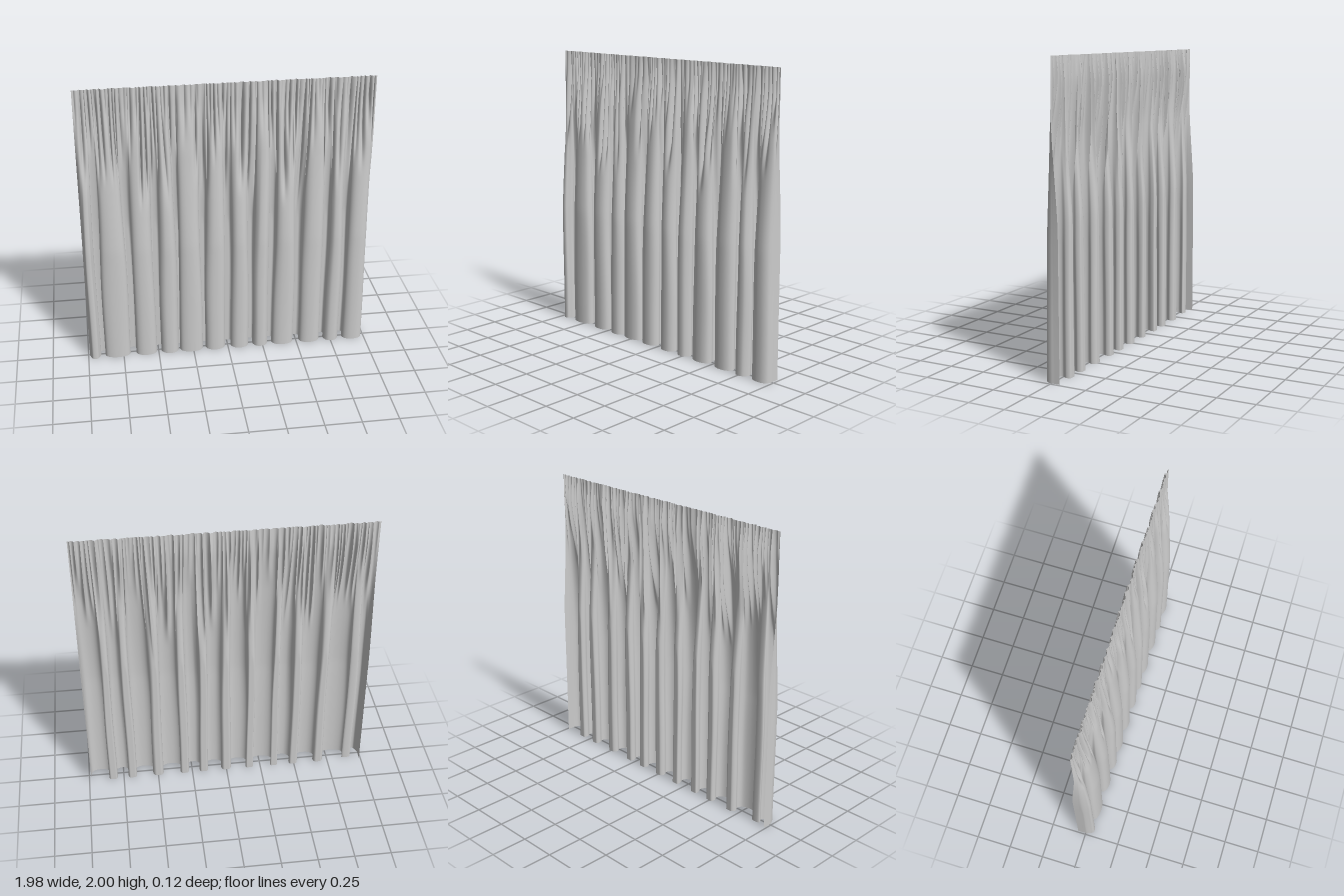
import * as THREE from 'three';

const ROWS = 60, COLS = 1080, DEPTH = 0.057;

// Front lobes of the hem, [left edge, right edge]
const LOBES = [[-0.99, -0.91], [-0.88, -0.70], [-0.66, -0.51], [-0.48, -0.355], [-0.345, -0.18], [-0.16, -0.02],
  [0.02, 0.15], [0.18, 0.29], [0.32, 0.475], [0.52, 0.67], [0.70, 0.81], [0.84, 0.985]];

let seed = 7;
const rand = () => (seed = (seed * 16807) % 2147483647) / 2147483647;
const smooth = THREE.MathUtils.smoothstep;
const mix = THREE.MathUtils.lerp;

// Linear interpolation in a list of [y, value]
function keyed(keys, y) {
  for (let i = 1; i < keys.length; i++) {
    const [y0, a] = keys[i - 1], [y1, b] = keys[i];
    if (y <= y1) return mix(a, b, (y - y0) / (y1 - y0));
  }
  return keys[keys.length - 1][1];
}
const FRONT = [[0, 0.058], [0.85, 0.055], [1.55, 0.026], [1.9, 0.002], [2, -0.008]];
const BACK = [[0, -0.058], [1, -0.056], [1.55, -0.045], [1.85, -0.05], [2, -0.034]];

// Hem outline: round lobes in front joined by small loops behind
function hemCurve() {
  const pts = [];
  const add = (x, z) => pts.push(new THREE.Vector3(x, 0, z));
  LOBES.forEach(([a, b], i) => {
    const w = b - a, last = i === LOBES.length - 1;
    if (i === 0) { add(a, -0.057); add(a, -0.02); } else add(a + 0.016, -0.028);
    add(a, 0.005);
    add(a + 0.012, 0.035);
    add(a + w * 0.3, 0.053);
    add(a + w * 0.7, 0.053);
    add(b - 0.012, 0.035);
    add(b, 0.005);
    if (last) { add(b, -0.02); add(b, -0.057); return; }
    const v = (b + LOBES[i + 1][0]) / 2, back = i === 0 ? -0.035 : -0.055;
    add(b - 0.016, -0.028);
    add(v - 0.022, back);
    add(v + 0.022, back);
  });
  return new THREE.CatmullRomCurve3(pts, false, 'centripetal');
}

// Where each point of the cloth hangs from the heading
function headingPositions(hem) {
  const valleys = [-0.99, ...LOBES.slice(1).map(([a], i) => (a + LOBES[i][1]) / 2), 0.985];
  const raw = hem.map((p) => p.x);
  const out = [];
  // find the backmost column of every valley, then spread columns evenly between
  const marks = valleys.map((v, i) => {
    if (i === 0) return 0;
    if (i === valleys.length - 1) return COLS;
    let best = 0, score = Infinity;
    raw.forEach((x, c) => {
      const s = Math.abs(x - v) + (hem[c].z > -0.02 ? 1 : 0);
      if (s < score) { score = s; best = c; }
    });
    return best;
  });
  for (let i = 0; i < marks.length - 1; i++)
    for (let c = marks[i]; c <= marks[i + 1]; c++)
      out[c] = mix(valleys[i], valleys[i + 1], (c - marks[i]) / (marks[i + 1] - marks[i]));
  return out;
}

// Gathered creases that run down from the heading and fade out
function makeCreases() {
  const creases = [];
  for (let i = 0; i < 84; i++) creases.push({
    x: -0.98 + (i + 0.15 + rand() * 0.7) * 1.96 / 84,
    end: 1.02 + 0.7 * rand(),
    width: 0.006 + 0.007 * rand(),
    depth: 0.6 + 0.9 * rand(),
    drift: (rand() - 0.5) * 0.035,
  });
  return creases;
}

function curtainGeometry() {
  const hem = hemCurve().getSpacedPoints(COLS);
  const top = headingPositions(hem);
  const creases = makeCreases();
  const pos = [], index = [];
  for (let r = 0; r <= ROWS; r++) {
    const y = 2 * r / ROWS;
    const gather = smooth(y, 0.9, 2), slide = 0.85 * smooth(y, 0.3, 2);
    const zf = keyed(FRONT, y), zb = keyed(BACK, y);
    for (let c = 0; c <= COLS; c++) {
      const s = top[c], edge = Math.min(1, (0.99 - Math.abs(s)) / 0.04);
      let n = mix(hem[c].z / DEPTH, 0.45, gather * 0.8);
      let x = mix(hem[c].x, s, slide);
      // gentle sway of the large folds
      x += edge * 0.006 * Math.sin(s * 17 + y * 2.6) * smooth(y, 0, 0.8);
      for (const k of creases) {
        const fade = smooth(y, k.end, k.end + 0.5);
        const d = s - k.x - k.drift * (2 - y);
        if (fade === 0 || Math.abs(d) > 0.05) continue;
        const g = fade * Math.exp(-((d / k.width) ** 2));
        n -= k.depth * g;
        x -= 0.9 * d * g * edge;
      }
      n = THREE.MathUtils.clamp(n, -1, 1);
      pos.push(THREE.MathUtils.clamp(x, -0.99, 0.987), y, mix(zb, zf, (n + 1) / 2));
      if (r < ROWS && c < COLS) {
        const a = r * (COLS + 1) + c, b = a + COLS + 1;
        index.push(a, a + 1, b + 1, a, b + 1, b);
      }
    }
  }
  const geo = new THREE.BufferGeometry();
  geo.setAttribute('position', new THREE.Float32BufferAttribute(pos, 3));
  geo.setIndex(index);
  geo.computeVertexNormals();
  return geo;
}

export function createModel() {
  seed = 7;
  const group = new THREE.Group();
  group.name = 'curtain';
  const cloth = new THREE.Mesh(curtainGeometry(),
    new THREE.MeshStandardMaterial({ color: 0xcccccc, side: THREE.DoubleSide }));
  cloth.name = 'pleatedCloth';
  group.add(cloth);
  return group;
}
